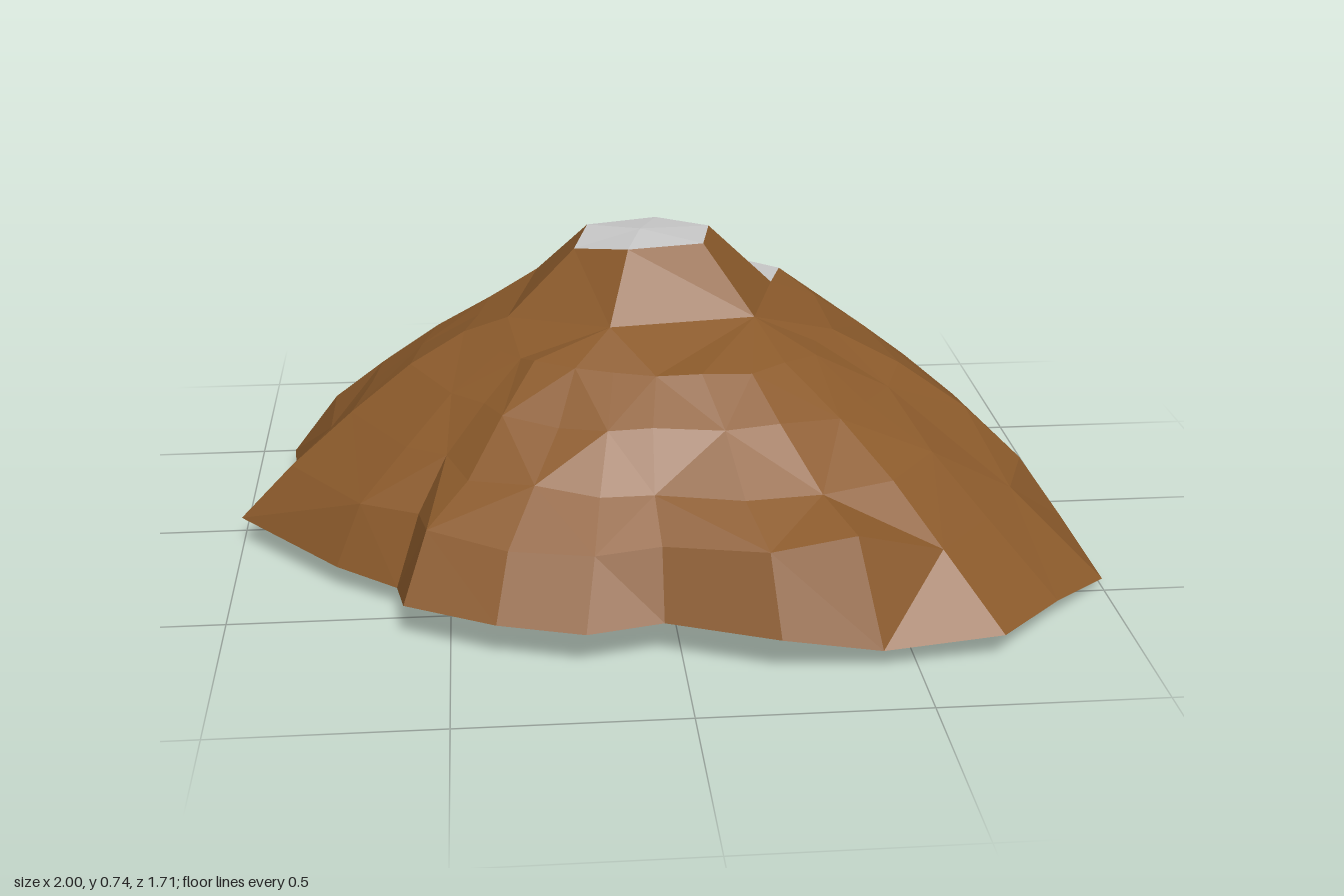
import * as THREE from 'three';

// foot of the mountain, counter-clockwise from above: x, y, z, index of the summit corner it climbs to
const FOOT = [
  [1, 0.02, 0.48, 0], [0.97, 0.06, 0.22, 0], [0.87, 0.06, -0.25, 1], [0.75, 0.04, -0.37, 1],
  [0.69, 0.045, -0.72, 1], [0.44, 0.03, -0.85, 2], [0.18, 0, -0.8, 2], [-0.02, 0.04, -0.86, 2],
  [-0.3, 0.04, -0.79, 2], [-0.57, 0.04, -0.72, 3], [-0.63, 0.03, -0.52, 3], [-0.91, 0.03, -0.43, 3],
  [-0.89, 0.01, -0.18, 4], [-1, 0.07, 0.08, 4], [-0.76, 0.06, 0.35, 4], [-0.62, 0.05, 0.45, 4],
  [-0.6, 0.09, 0.62, 5], [-0.4, 0.09, 0.73, 5], [-0.21, 0.09, 0.79, 5], [-0.04, 0.09, 0.75, 5],
  [0.2, 0.09, 0.85, 0], [0.42, 0.05, 0.84, 0], [0.69, 0.06, 0.81, 0], [0.85, 0.05, 0.64, 0],
];
// corners of the flat summit and of the shoulder below it: x, y, z
const SUMMIT = [
  [0.11, 0.73, 0.08], [0.14, 0.725, -0.08], [0.02, 0.72, -0.18],
  [-0.15, 0.72, -0.13], [-0.19, 0.71, 0.03], [-0.07, 0.735, 0.13],
];
const SHOULDER = [
  [0.22, 0.58, 0.18], [0.3, 0.565, -0.12], [0.06, 0.56, -0.33],
  [-0.27, 0.58, -0.23], [-0.35, 0.555, 0.06], [-0.12, 0.585, 0.24],
];
// slope profile below the shoulder: share of the way out to the foot, height
const PROFILE = [[0.35, 0.515], [0.52, 0.43], [0.7, 0.325], [0.87, 0.205]];
// outer edge of the small snow ledge, on columns 3 to 6
const LEDGE_START = 3, LEDGE_END = 6;
const LEDGE_EDGE = [[0.34, 0.555, -0.26], [0.24, 0.55, -0.37]];

function seeded(seed) {
  return () => {
    seed = (seed * 16807) % 2147483647;
    return seed / 2147483647 - 0.5;
  };
}

const mix = (a, b, t) => a.map((v, i) => v + (b[i] - v) * t);

// distance of the foot from the axis, and its average over five neighbouring columns
const footRadius = (j) => {
  const f = FOOT[(j + FOOT.length) % FOOT.length];
  return Math.hypot(f[0], f[2]);
};
const smoothRadius = (j) => [-2, -1, 0, 1, 2].reduce((sum, k) => sum + footRadius(j + k), 0) / 5;

function facetMesh(name, positions, color) {
  const geometry = new THREE.BufferGeometry();
  geometry.setAttribute('position', new THREE.Float32BufferAttribute(positions, 3));
  geometry.computeVertexNormals();
  const mesh = new THREE.Mesh(geometry, new THREE.MeshStandardMaterial({ color, flatShading: true }));
  mesh.name = name;
  return mesh;
}

// rings of points from the summit edge down to the foot
function buildRings() {
  const rand = seeded(77);
  const rings = [SUMMIT, SHOULDER].map((corners) => FOOT.map((f) => corners[f[3]]));
  PROFILE.forEach(([share, height], r) => {
    rings.push(FOOT.map(([x, , z], j) => {
      const onLedge = j >= LEDGE_START && j <= LEDGE_END;
      if (r === 0 && onLedge) {
        return mix(...LEDGE_EDGE, (j - LEDGE_START) / (LEDGE_END - LEDGE_START));
      }
      // notches and spurs of the foot fade out towards the summit
      const own = footRadius(j);
      const outer = smoothRadius(j) * (1 - share) + own * share;
      // far corners of the foot run out flatter
      const reach = Math.min(1, 1 / own);
      const radius = 0.16 + (outer - 0.16) * (share * reach + rand() * 0.03);
      const px = -0.02 * (1 - share) + (x / own) * radius + rand() * 0.02;
      const pz = -0.02 * (1 - share) + (z / own) * radius + rand() * 0.02;
      // the front stands steeper above its foot
      const steep = r === 3 && z > 0.5 && x < 0.5 ? 0.03 + 0.12 * Math.max(0, x) : 0;
      return [px, height + steep + rand() * 0.02, pz];
    }));
  });
  rings.push(FOOT.map((f) => f.slice(0, 3)));
  return rings;
}

export function createModel() {
  const rings = buildRings();
  const n = FOOT.length;
  const rock = [], ledge = [], summit = [], underside = [];
  const same = (a, b) => a.every((v, i) => v === b[i]);
  const tri = (target, a, b, c) => {
    if (!same(a, b) && !same(b, c) && !same(c, a)) target.push(...a, ...b, ...c);
  };

  // slopes, with alternating diagonals for irregular facets
  for (let r = 0; r < rings.length - 1; r++) {
    for (let j = 0; j < n; j++) {
      const k = (j + 1) % n;
      const [a, b, c, d] = [rings[r][j], rings[r + 1][j], rings[r + 1][k], rings[r][k]];
      const target = r === 1 && j >= LEDGE_START && j < LEDGE_END ? ledge : rock;
      if ((r + j) % 2) {
        tri(target, a, b, c);
        tri(target, a, c, d);
      } else {
        tri(target, a, b, d);
        tri(target, b, c, d);
      }
    }
  }

  // fans closing the top and the bottom
  SUMMIT.forEach((p, i) => tri(summit, [-0.03, 0.74, -0.02], p, SUMMIT[(i + 1) % SUMMIT.length]));
  const foot = rings[rings.length - 1];
  foot.forEach((p, j) => tri(underside, [0, 0.055, 0], foot[(j + 1) % n], p));

  const group = new THREE.Group();
  group.name = 'mountain';
  group.add(
    facetMesh('slopes', rock, 0x8b5a2b),
    facetMesh('underside', underside, 0x8b5a2b),
    facetMesh('summitSnow', summit, 0xcccccc),
    facetMesh('ledgeSnow', ledge, 0xcccccc),
  );
  return group;
}
